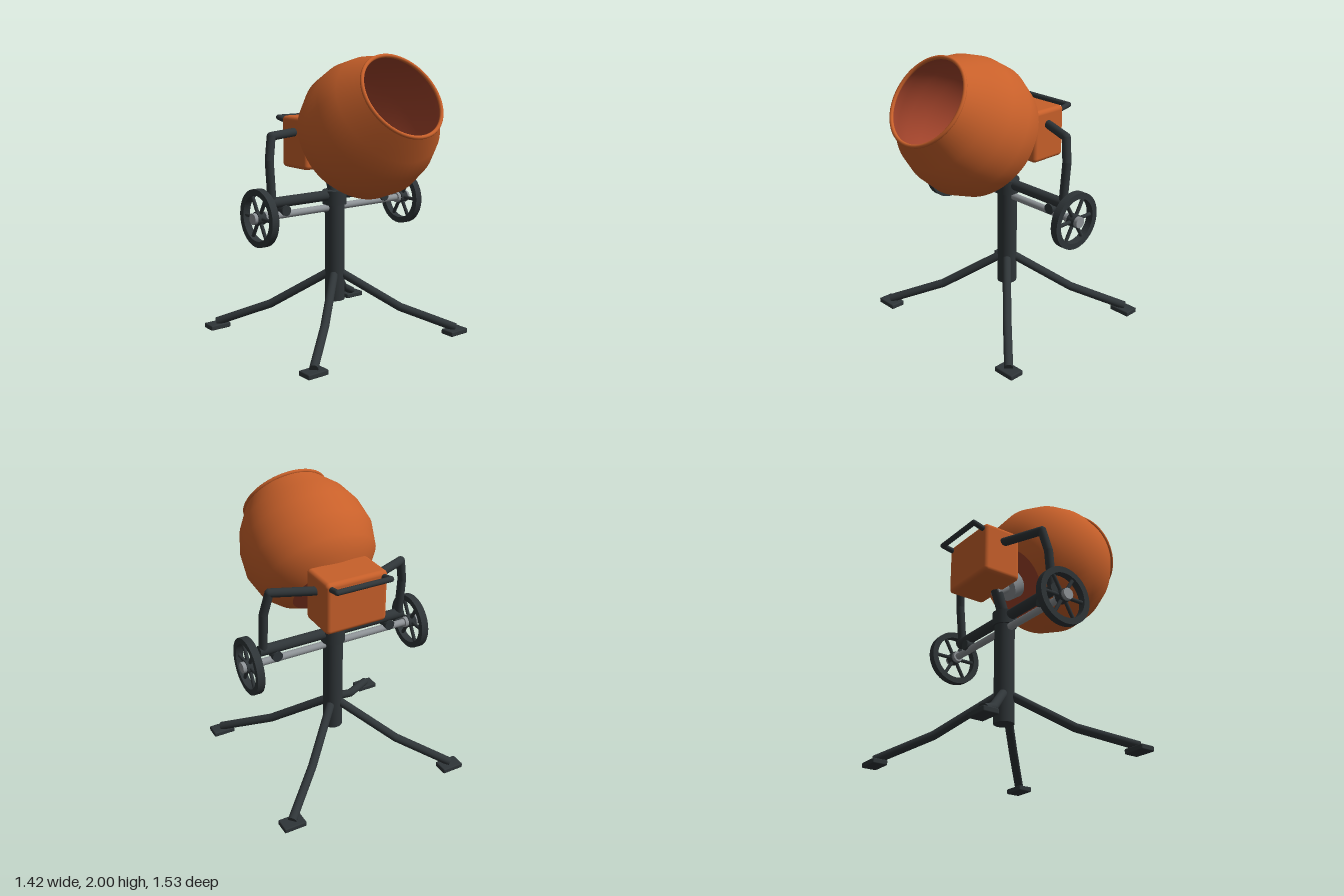
import * as THREE from 'three';
import { RoundedBoxGeometry } from 'three/addons/geometries/RoundedBoxGeometry.js';

const mat = (color, side = THREE.FrontSide) => new THREE.MeshStandardMaterial({ color, side });
const V = (x, y, z) => new THREE.Vector3(x, y, z);
const UP = V(0, 1, 0);
const Z0 = -0.122; // depth of the column and axle

export function createModel() {
  const model = new THREE.Group();
  const orange = mat(0xc8602a), orangeShell = mat(0xc8602a, THREE.DoubleSide);
  const red = mat(0xa5452c), dark = mat(0x2f3538), metal = mat(0x8f9498);

  const add = (name, geometry, material, parent = model) => {
    const mesh = new THREE.Mesh(geometry, material);
    mesh.name = name;
    parent.add(mesh);
    return mesh;
  };
  // Straight round bar between two points
  const rod = (name, a, b, r, material = dark, parent = model, sides = 20) => {
    const d = b.clone().sub(a);
    const mesh = add(name, new THREE.CylinderGeometry(r, r, d.length(), sides), material, parent);
    mesh.position.copy(a).add(b).multiplyScalar(0.5);
    mesh.quaternion.setFromUnitVectors(UP, d.normalize());
    return mesh;
  };
  // Bent pipe: bars with rounded joints
  const pipe = (name, points, r) => {
    const group = new THREE.Group();
    group.name = name;
    points.forEach((p, i) => {
      if (i === 0) return;
      rod(name + 'Bar', points[i - 1], p, r, dark, group);
      if (i < points.length - 1) add(name + 'Joint', new THREE.SphereGeometry(r, 20, 12), dark, group).position.copy(p);
    });
    model.add(group);
  };

  // Central column, collar and post carrying the motor housing
  rod('column', V(0, 0.24, Z0), V(0, 1.035, Z0), 0.07, dark, model, 32);
  rod('collar', V(0, 0.94, Z0), V(0, 1.04, Z0), 0.084, dark, model, 32);
  rod('motorPost', V(0, 1.0, Z0), V(0, 1.25, -0.21), 0.04);

  // Four bent legs with foot pads
  for (const sx of [-1, 1]) for (const sz of [-1, 1]) {
    pipe('leg', [
      V(sx * 0.035, 0.435, Z0 + sz * 0.035),
      V(sx * 0.34, 0.19, Z0 + sz * 0.325),
      V(sx * 0.635, 0.045, Z0 + sz * 0.595),
    ], 0.03);
    add('footPad', new RoundedBoxGeometry(0.16, 0.036, 0.107, 2, 0.008), dark)
      .position.set(sx * 0.632, 0.018, Z0 + sz * 0.592);
  }

  // Yoke: crossbar and two bent arms reaching the motor housing
  rod('crossbar', V(-0.56, 1.007, Z0), V(0.56, 1.007, Z0), 0.037);
  for (const s of [-1, 1]) {
    pipe('yokeArm', [
      V(s * 0.53, 0.985, Z0), V(s * 0.53, 1.29, -0.15),
      V(s * 0.495, 1.45, -0.175), V(s * 0.2, 1.45, -0.3),
    ], 0.03);
    // Axle clamps below the crossbar
    rod('axleClamp', V(s * 0.44, 0.95, Z0 - 0.04), V(s * 0.44, 0.95, Z0 + 0.04), 0.038, dark, model, 10);
  }

  // Axle and spoked wheels
  rod('axle', V(-0.67, 0.918, Z0), V(0.67, 0.918, Z0), 0.025, metal);
  const ring = new THREE.Shape().absarc(0, 0, 0.197, 0, Math.PI * 2);
  ring.holes.push(new THREE.Path().absarc(0, 0, 0.155, 0, Math.PI * 2, true));
  const rimGeo = new THREE.ExtrudeGeometry(ring, { depth: 0.052, bevelEnabled: false, curveSegments: 40 });
  rimGeo.translate(0, 0, -0.026).rotateY(Math.PI / 2);
  for (const s of [-1, 1]) {
    const wheel = new THREE.Group();
    wheel.name = s > 0 ? 'leftWheel' : 'rightWheel';
    wheel.position.set(s * 0.635, 0.918, Z0);
    add('wheelRim', rimGeo, dark, wheel);
    rod('hub', V(-0.03, 0, 0), V(0.03, 0, 0), 0.045, dark, wheel);
    rod('hubCap', V(-0.055, 0, 0), V(0.055, 0, 0), 0.038, metal, wheel);
    for (let i = 0; i < 6; i++) {
      const a = i * Math.PI / 3;
      rod('spoke', V(0, 0, 0), V(0, Math.sin(a) * 0.165, Math.cos(a) * 0.165), 0.013, dark, wheel, 10);
    }
    model.add(wheel);
  }

  // Motor housing with a push handle behind
  add('motorHousing', new RoundedBoxGeometry(0.45, 0.365, 0.285, 4, 0.03), orange)
    .position.set(0, 1.373, -0.3025);
  pipe('handle', [
    V(-0.19, 1.515, -0.43), V(-0.195, 1.535, -0.522),
    V(0.195, 1.535, -0.522), V(0.19, 1.515, -0.43),
  ], 0.019);

  // Tilted drum; its local origin is the centre of the mouth, +y points out of it
  const drum = new THREE.Group();
  drum.name = 'drum';
  drum.position.set(0, 1.743, 0.585);
  drum.rotation.x = THREE.MathUtils.degToRad(55);
  model.add(drum);

  const profile = [
    [0.255, -0.772], [0.345, -0.715], [0.425, -0.621], [0.468, -0.46],
    [0.452, -0.3], [0.4, -0.16], [0.305, -0.02], [0.308, 0],
  ].map(([x, y]) => new THREE.Vector2(x, y));
  add('drumShell', new THREE.LatheGeometry(profile, 64), orange, drum);
  const lining = profile.map(p => new THREE.Vector2(p.x - 0.015, p.y)).reverse();
  add('drumLining', new THREE.LatheGeometry(lining, 64), red, drum);
  const lip = add('drumLip', new THREE.TorusGeometry(0.302, 0.013, 12, 64), orange, drum);
  lip.rotation.x = Math.PI / 2;
  lip.position.y = -0.008;

  // Drum floor, inside and outside
  const floor = add('drumFloor', new THREE.CircleGeometry(0.3, 64), orangeShell, drum);
  floor.rotation.x = -Math.PI / 2;
  floor.position.y = -0.738;
  const base = add('drumBase', new THREE.CircleGeometry(0.256, 64), red, drum);
  base.rotation.x = Math.PI / 2;
  base.position.y = -0.771;

  // Bearing and drive shaft behind the drum
  rod('bearing', V(0, -0.865, 0), V(0, -0.75, 0), 0.1, metal, drum, 32);
  rod('driveShaft', V(0, -0.97, 0), V(0, -0.86, 0), 0.045, metal, drum);

  return model;
}
